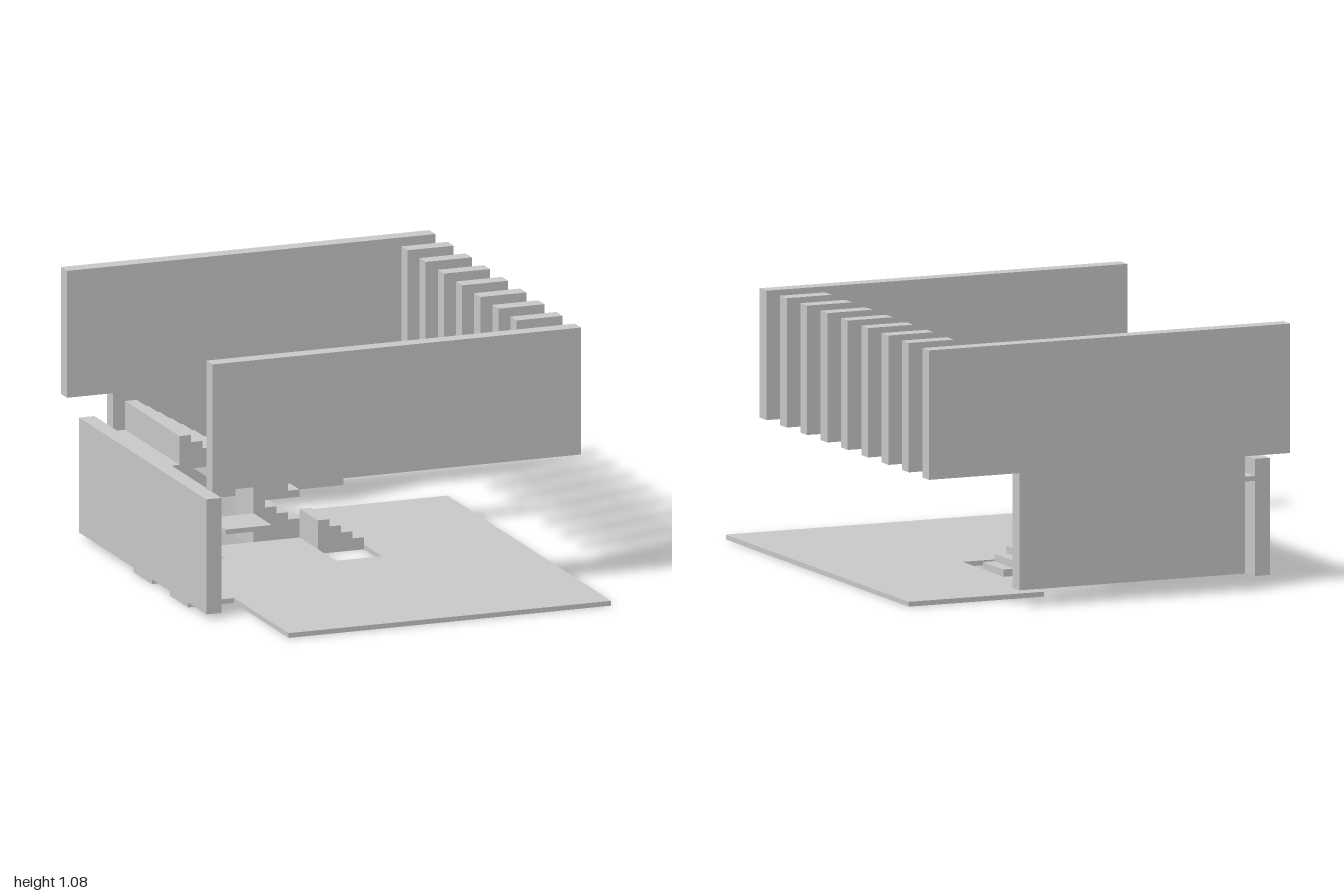
import * as THREE from 'three';

export function createModel() {
  const model = new THREE.Group();
  const mat = new THREE.MeshStandardMaterial({ color: 0xcccccc, flatShading: true });

  const add = (name, geometry) => {
    const mesh = new THREE.Mesh(geometry, mat);
    mesh.name = name;
    model.add(mesh);
    return mesh;
  };

  // Box given by its limits on each axis
  const box = (name, [x0, x1], [y0, y1], [z0, z1]) =>
    add(name, new THREE.BoxGeometry(x1 - x0, y1 - y0, z1 - z0))
      .position.set((x0 + x1) / 2, (y0 + y1) / 2, (z0 + z1) / 2);

  // Outline extruded along z from z0 to z1
  const extrudeZ = (name, points, z0, z1) => {
    const shape = new THREE.Shape(points.map(([x, y]) => new THREE.Vector2(x, y)));
    add(name, new THREE.ExtrudeGeometry(shape, { depth: z1 - z0, bevelEnabled: false }))
      .position.z = z0;
  };

  // Solid flight of four steps, falling towards +x
  const flight = (name, x, bottom, top, z0, z1) => {
    const pts = [[x, bottom]];
    for (let i = 0; i < 4; i++) {
      const y = top - i * 0.03;
      pts.push([x + i * 0.05, y], [x + (i + 1) * 0.05, y]);
    }
    pts.push([x + 0.2, bottom]);
    extrudeZ(name, pts, z0, z1);
  };

  // Floor slab with stepped edge, two side tabs and a square opening (x, z outline)
  const outline = [
    [-0.6, 1], [0.8, 1], [0.8, -0.8], [0.2, -0.8], [0.2, -0.6], [-0.2, -0.6],
    [-0.2, -0.4], [-0.4, -0.4], [-0.4, -0.2], [-0.8, -0.2], [-0.8, 0], [-0.6, 0],
    [-0.6, 0.2], [-0.8, 0.2], [-0.8, 0.4], [-0.6, 0.4],
  ];
  const toPlan = ([x, z]) => new THREE.Vector2(x, -z);
  const plan = new THREE.Shape(outline.map(toPlan));
  plan.holes.push(new THREE.Path([[0, 0], [0, -0.2], [0.2, -0.2], [0.2, 0]].map(toPlan)));
  add('floorSlab', new THREE.ExtrudeGeometry(plan, { depth: 0.02, bevelEnabled: false }))
    .rotation.x = -Math.PI / 2;

  // Walls
  const wall = 0.067;
  box('frontUpperWall', [-0.8, 0.8], [0.55, 1.08], [0.6, 0.6 + wall]);
  extrudeZ('backWall', [
    [-0.6, 0.07], [0.4, 0.07], [0.4, 0.55], [0.8, 0.55],
    [0.8, 1.08], [-0.8, 1.08], [-0.8, 0.55], [-0.6, 0.55],
  ], -1, -1 + wall);
  box('sideWall', [-0.8, -0.8 + wall], [0.02, 0.5], [-0.8, 0.6]);
  box('stairBeam', [-0.4, 0.6], [0.55, 0.68], [-0.4, -0.4 + wall]);

  // Row of upright fins
  for (let i = 0; i < 7; i++) {
    const z = -0.8 + i * 0.2;
    box('fin', [0.6, 0.8], [0.55, 1.08], [z, z + wall]);
  }

  // Stair flights and landings, from the top down
  flight('topFlight', -0.6, 0.43, 0.55, -0.8, -0.2);
  box('upperLanding', [-0.8 + wall, -0.4], [0.41, 0.43], [-0.8, -0.2]);
  flight('upperFlight', -0.4, 0.31, 0.43, -0.8, -0.4);
  flight('middleFlight', -0.2, 0.19, 0.31, -0.8, -0.4);
  flight('lowerFlight', -0.2, 0.02, 0.19, -0.6, -0.4);
  box('lowerLanding', [-0.4, -0.2], [0.12, 0.14], [-0.4, -0.2]);
  flight('entryFlight', 0, 0.02, 0.14, -0.4, -0.2);

  return model;
}
